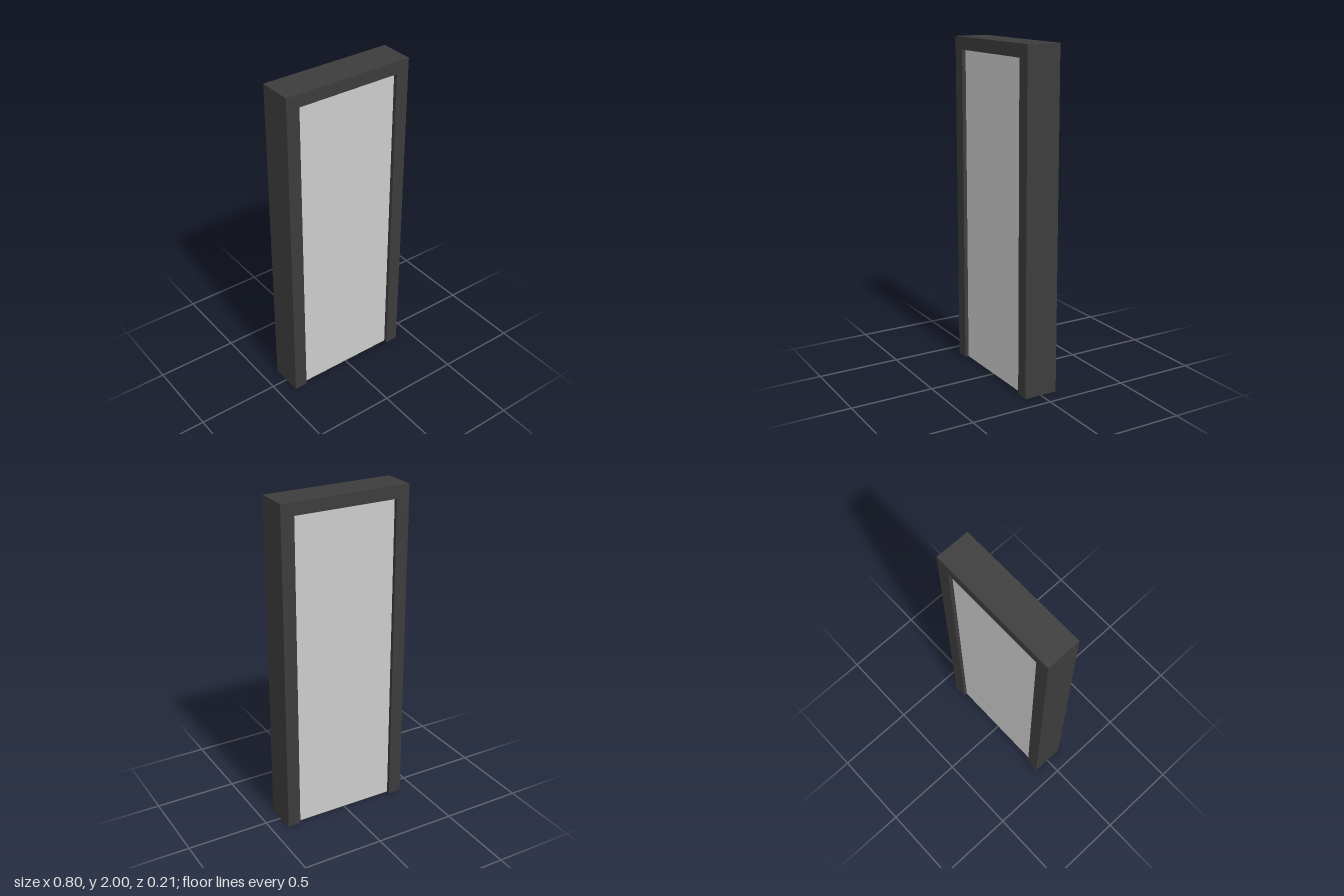
import * as THREE from 'three';

const WIDTH = 0.8, HEIGHT = 2, DEPTH = 0.206;
const JAMB = 0.08, HEAD = 0.075, PANEL_DEPTH = 0.16;

export function createModel() {
  const group = new THREE.Group();
  group.name = 'door';
  const frameMaterial = new THREE.MeshStandardMaterial({ color: 0x3c3c3c });
  const panelMaterial = new THREE.MeshStandardMaterial({ color: 0xcccccc });

  // Frame: two jambs and a head in one piece, open at the floor
  const outer = WIDTH / 2, inner = outer - JAMB, opening = HEIGHT - HEAD;
  const outline = new THREE.Shape([
    [-outer, 0], [-inner, 0], [-inner, opening], [inner, opening],
    [inner, 0], [outer, 0], [outer, HEIGHT], [-outer, HEIGHT],
  ].map(([x, y]) => new THREE.Vector2(x, y)));
  const frameGeometry = new THREE.ExtrudeGeometry(outline, { depth: DEPTH, bevelEnabled: false });
  frameGeometry.translate(0, 0, -DEPTH / 2);
  const frame = new THREE.Mesh(frameGeometry, frameMaterial);
  frame.name = 'doorFrame';
  group.add(frame);

  // Door panel: fills the opening, slightly recessed on both faces
  const panel = new THREE.Mesh(new THREE.BoxGeometry(inner * 2, opening, PANEL_DEPTH), panelMaterial);
  panel.name = 'doorPanel';
  panel.position.y = opening / 2;
  group.add(panel);

  return group;
}
